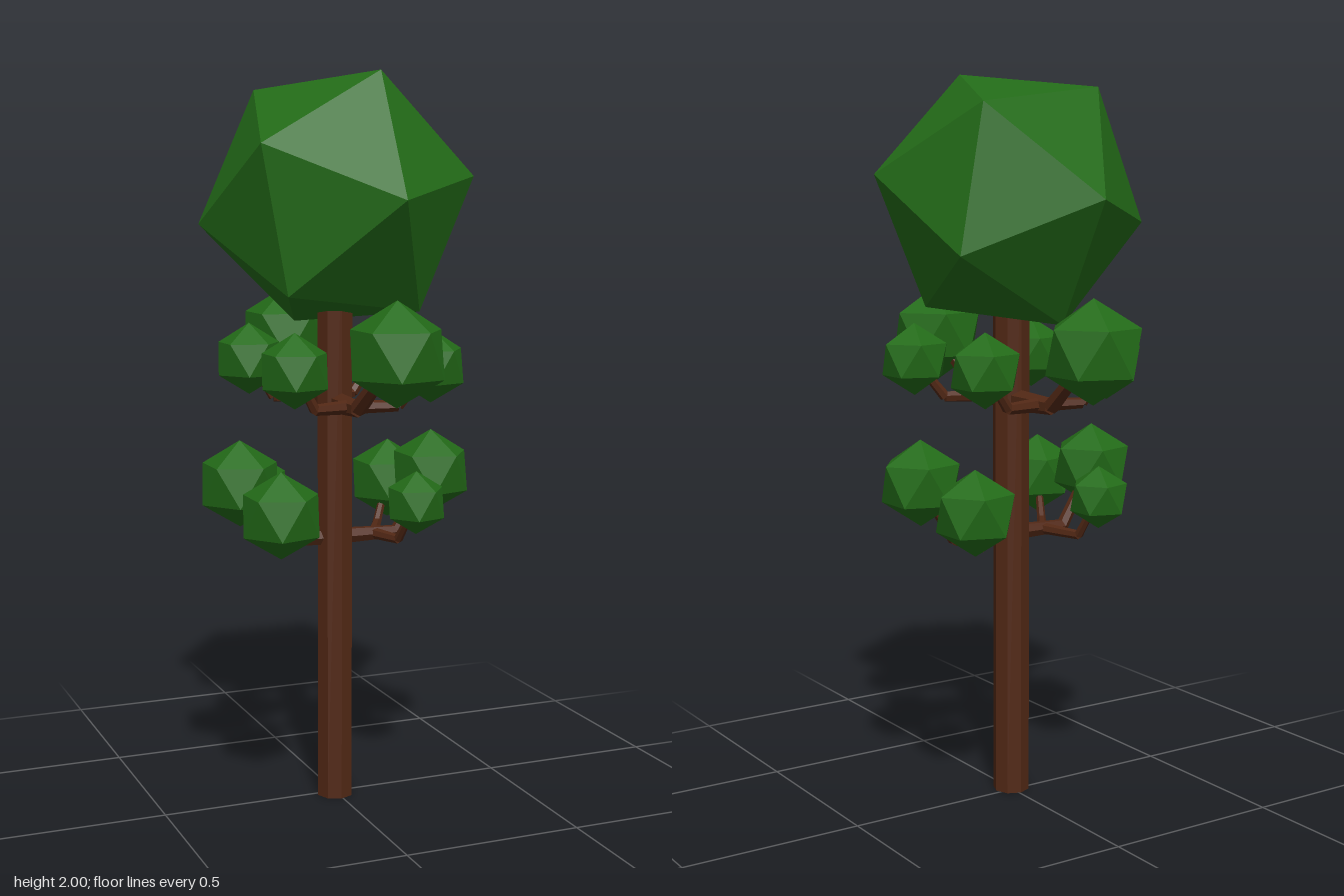
import * as THREE from 'three';

const leafMat = new THREE.MeshStandardMaterial({ color: 0x236b18, flatShading: true });
const barkMat = new THREE.MeshStandardMaterial({ color: 0x522815, flatShading: true });
const V = (x, y, z) => new THREE.Vector3(x, y, z);

// Trunk axis
const TX = -0.005, TZ = 0.015;

// Icosahedron of foliage, turned so two neighbouring corners point along a and b
function foliage(name, center, r, a = V(0, 1, 0), b = V(0.894, 0.447, 0)) {
  const geo = new THREE.IcosahedronGeometry(r, 0);
  const ex = a.clone().sub(b).normalize();
  const ey = a.clone().add(b);
  ey.addScaledVector(ex, -ey.dot(ex)).normalize();
  const ez = ex.clone().cross(ey);
  geo.applyMatrix4(new THREE.Matrix4().makeBasis(ex, ey, ez));
  const mesh = new THREE.Mesh(geo, leafMat);
  mesh.name = name;
  mesh.position.copy(center);
  return mesh;
}

// Tapered limb between two points
function limb(p, q, r0, r1) {
  const dir = q.clone().sub(p);
  const geo = new THREE.CylinderGeometry(r1, r0, dir.length(), 6);
  const mesh = new THREE.Mesh(geo, barkMat);
  mesh.name = 'limb';
  mesh.position.copy(p).add(q).multiplyScalar(0.5);
  mesh.quaternion.setFromUnitVectors(V(0, 1, 0), dir.normalize());
  return mesh;
}

// Limbs joined along a list of points, tapering to the tip
function branch(name, points, r0, r1) {
  const g = new THREE.Group();
  g.name = name;
  const n = points.length - 1;
  for (let i = 0; i < n; i++) {
    g.add(limb(points[i], points[i + 1],
      THREE.MathUtils.lerp(r0, r1, i / n), THREE.MathUtils.lerp(r0, r1, (i + 1) / n)));
  }
  return g;
}

export function createModel() {
  const tree = new THREE.Group();
  tree.name = 'tree';

  // Trunk
  const trunk = new THREE.Mesh(new THREE.CylinderGeometry(0.051, 0.051, 1.6, 8), barkMat);
  trunk.name = 'trunk';
  trunk.position.set(TX, 0.8, TZ);
  tree.add(trunk);

  // Crown
  tree.add(foliage('crown', V(0, 1.667, 0.01), 0.377, V(0.06, 0.33, 0.16), V(-0.18, 0.29, -0.15)));

  // Upper tier: boughs to the front and back, each with a twig to both sides
  for (const s of [1, -1]) {
    const tip = V(s > 0 ? 0.025 : -0.008, 1.28, s * 0.363);
    tree.add(branch('upperBough', [V(TX, 1.12, TZ), V(TX, 1.12, s * 0.18), tip], 0.032, 0.014));
    tree.add(foliage('upperFoliage', tip, 0.138));
    for (const t of [1, -1]) {
      const end = V(t > 0 ? 0.205 : -0.185, 1.228, s * 0.182);
      tree.add(branch('upperTwig', [V(TX, 1.12, s * 0.13), V(t * 0.12, 1.12, s * 0.16), end], 0.02, 0.01));
      tree.add(foliage('upperTwigFoliage', end, 0.1));
    }
  }

  // Lower tier: boughs to the left and right, each with a twig to front and back
  for (const s of [1, -1]) {
    const tip = V(s * 0.283, 0.912, 0.02);
    tree.add(branch('lowerBough', [V(TX, 0.745, TZ), V(s * 0.18, 0.745, TZ), tip], 0.024, 0.012));
    tree.add(foliage('lowerFoliage', tip, 0.118));
    for (const t of [1, -1]) {
      const large = s !== t;
      const end = large ? V(s * 0.245, 0.86, t > 0 ? 0.238 : -0.195)
        : V(s * 0.152, 0.862, t > 0 ? 0.21 : -0.195);
      tree.add(branch('lowerTwig',
        [V(s * 0.11, 0.745, TZ), V(s * (large ? 0.18 : 0.14), 0.745, t * 0.12), end], 0.016, 0.009));
      tree.add(foliage('lowerTwigFoliage', end, large ? 0.115 : 0.086));
    }
  }
  return tree;
}
